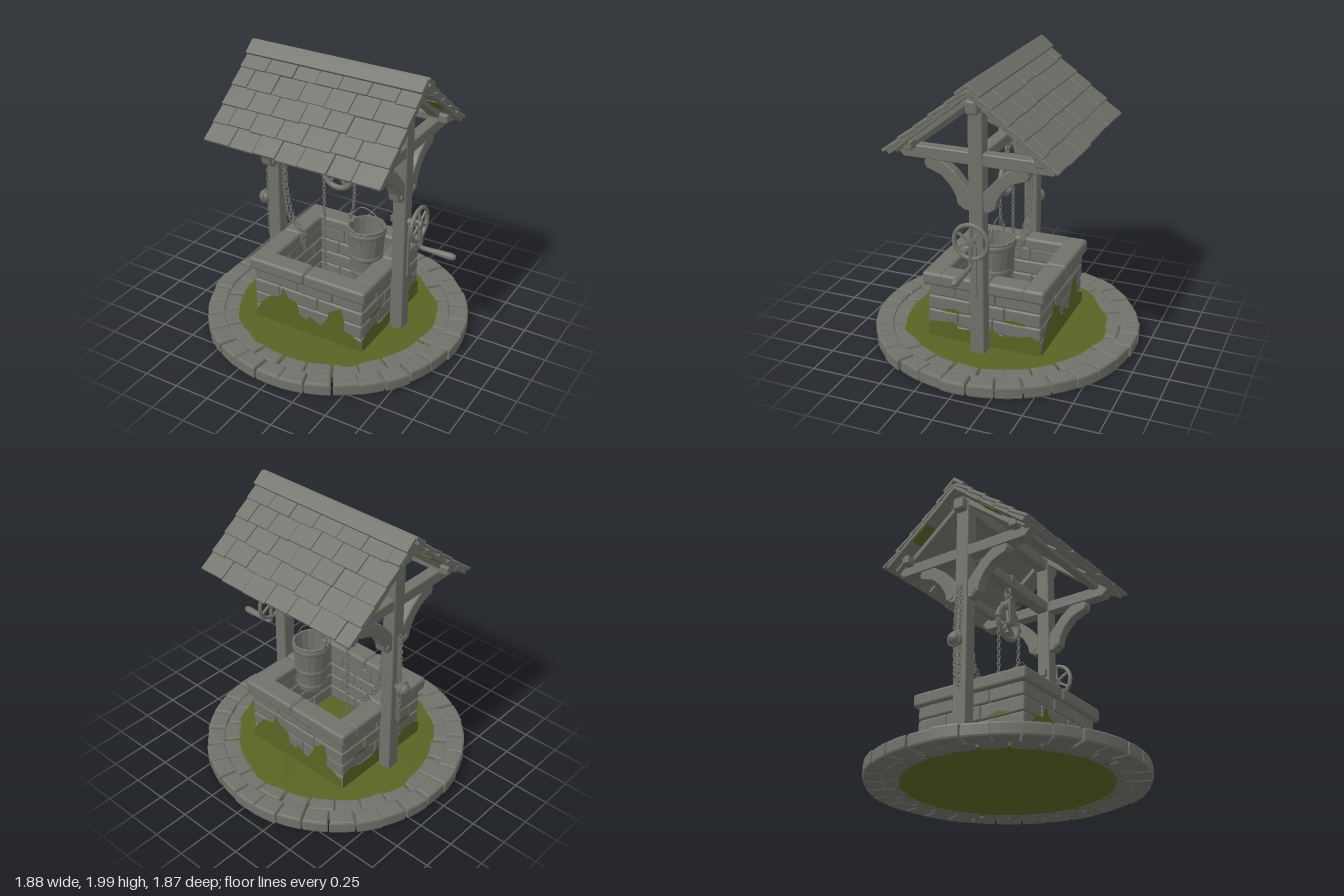
import * as THREE from 'three';
import { mergeGeometries } from 'three/addons/utils/BufferGeometryUtils.js';
import { RoundedBoxGeometry } from 'three/addons/geometries/RoundedBoxGeometry.js';

const stone = new THREE.MeshStandardMaterial({ color: 0x70716a });
stone.name = 'weathered grey';
const moss = new THREE.MeshStandardMaterial({ color: 0x5a6424 });
moss.name = 'moss green';

let seed = 7;
const rnd = (a, b) => {
  seed = (seed * 16807) % 2147483647;
  return a + (b - a) * seed / 2147483647;
};

// Joins several geometries into one named mesh
function part(parent, name, geos, mat = stone) {
  const mesh = new THREE.Mesh(mergeGeometries(geos.map(g => g.index ? g.toNonIndexed() : g)), mat);
  mesh.name = name;
  parent.add(mesh);
  return mesh;
}
// Rounded block given by its limits
function block(x0, x1, y0, y1, z0, z1, r = 0.012) {
  return new RoundedBoxGeometry(x1 - x0, y1 - y0, z1 - z0, 2, r)
    .translate((x0 + x1) / 2, (y0 + y1) / 2, (z0 + z1) / 2);
}
// Outline drawn in z and y, given a thickness along x
function sideCut(points, x, width) {
  const shape = new THREE.Shape(points.map(p => new THREE.Vector2(...p)));
  const b = 0.006;
  return new THREE.ExtrudeGeometry(shape, { depth: width - 2 * b, bevelSize: b, bevelThickness: b, bevelOffset: -b, bevelSegments: 1 })
    .translate(0, 0, b - width / 2).rotateY(-Math.PI / 2).translate(x, 0, 0);
}
const curve = pts => new THREE.CatmullRomCurve3(pts.map(p => new THREE.Vector3(...p)));
const tube = (pts, r) => new THREE.TubeGeometry(curve(pts), 24, r, 8);

// Alternating oval links along a path
function chain(parent, name, pts) {
  const path = curve(pts), n = Math.round(path.getLength() / 0.029), links = [];
  for (let i = 0; i < n; i++) {
    const u = (i + 0.5) / n, p = path.getPointAt(u);
    const q = new THREE.Quaternion().setFromUnitVectors(new THREE.Vector3(0, 1, 0), path.getTangentAt(u));
    links.push(new THREE.TorusGeometry(0.011, 0.0038, 6, 10).scale(1, 1.65, 1)
      .rotateY((i % 2) * Math.PI / 2 + 0.5).applyQuaternion(q).translate(p.x, p.y, p.z));
  }
  part(parent, name, links);
}

// Ring of bevelled paving stones
function paving(parent, name, r0, r1, count, height) {
  const stones = [];
  for (let i = 0; i < count; i++) {
    const step = Math.PI * 2 / count, a = i * step + rnd(-0.01, 0.01), half = step / 2;
    const out = r1 + rnd(-0.012, 0.004), s = new THREE.Shape();
    const g0 = 0.004 / r0, g1 = 0.004 / r1;
    s.absarc(0, 0, out, a - half + g1, a + half - g1, false);
    s.absarc(0, 0, r0, a + half - g0, a - half + g0, true);
    const h = height + rnd(-0.006, 0.002);
    stones.push(new THREE.ExtrudeGeometry(s, { depth: h - 0.03, bevelSize: 0.015, bevelThickness: 0.015, bevelOffset: -0.015, bevelSegments: 2, curveSegments: 4 })
      .translate(0, 0, 0.015).rotateX(-Math.PI / 2));
  }
  part(parent, name, stones);
}

// Spoked wheel facing +z
function wheel(r, tubeR, spokes, hub) {
  const g = [new THREE.TorusGeometry(r, tubeR, 10, 36),
    new THREE.CylinderGeometry(hub, hub, tubeR * 2.6, 16).rotateX(Math.PI / 2)];
  for (let i = 0; i < spokes; i++)
    g.push(new THREE.BoxGeometry(tubeR * 1.1, r, tubeR).translate(0, r / 2, 0).rotateZ(i * Math.PI * 2 / spokes));
  return g;
}

function buildBase(root) {
  paving(root, 'outerPaving', 0.805, 0.94, 32, 0.095);
  paving(root, 'innerPaving', 0.695, 0.815, 26, 0.088);
  part(root, 'mossGround', [new THREE.CylinderGeometry(0.745, 0.745, 0.07, 64).translate(0, 0.04, 0)], moss);
  // ragged moss creeping over the inner stones
  const edge = [];
  for (let i = 0; i < 72; i++) {
    const a = i / 72 * Math.PI * 2, r = 0.708 + 0.016 * Math.sin(a * 5) + 0.01 * Math.sin(a * 13 + 1) + rnd(-0.008, 0.008);
    edge.push(new THREE.Vector2(r * Math.cos(a), r * Math.sin(a)));
  }
  part(root, 'mossEdge', [new THREE.ShapeGeometry(new THREE.Shape(edge)).rotateX(-Math.PI / 2).translate(0, 0.0905, 0)], moss);
}

function buildWell(root) {
  const X = 0.43, Z = 0.41, T = 0.12, stones = [], rim = [];
  for (let row = 0; row < 4; row++) {
    const y = 0.08 + row * 0.106;
    for (const s of [-1, 1]) {
      const fit = (half, n) => Array.from({ length: n + 1 }, (_, i) =>
        -half + 2 * half * i / n + (i > 0 && i < n ? rnd(-0.04, 0.04) + (row % 2 ? 0.05 : -0.05) : 0));
      const xs = fit(X, 3), zs = fit(Z - 0.02, 3);
      for (let i = 0; i < 3; i++) {
        const j = rnd(-0.006, 0.004);
        stones.push(block(xs[i], xs[i + 1], y, y + 0.106, s > 0 ? Z - T : -Z - j, s > 0 ? Z + j : T - Z, 0.016));
        stones.push(block(s > 0 ? X - T : -X - j, s > 0 ? X + j : T - X, y, y + 0.106, zs[i], zs[i + 1], 0.016));
      }
    }
  }
  for (const s of [-1, 1]) {
    // solid core behind the joints
    stones.push(new THREE.BoxGeometry(0.8, 0.42, 0.09).translate(0, 0.29, s * 0.35));
    stones.push(new THREE.BoxGeometry(0.09, 0.42, 0.78).translate(s * 0.37, 0.29, 0));
    // coping stones
    const cx = rnd(-0.06, 0.06), cz = rnd(-0.06, 0.06);
    for (const [a, b] of [[-0.46, cx], [cx, 0.46]])
      rim.push(block(a, b, 0.485, 0.58, s > 0 ? 0.29 : -0.44, s > 0 ? 0.44 : -0.29, 0.022));
    for (const [a, b] of [[-0.31, cz], [cz, 0.31]])
      rim.push(block(s > 0 ? 0.31 : -0.46, s > 0 ? 0.46 : -0.31, 0.485, 0.58, a, b, 0.022));
  }
  part(root, 'wellWall', stones);
  part(root, 'wellRim', rim);
  // moss patches climbing the walls
  const front = [[-0.425, 0.13], [-0.38, 0.21], [-0.3, 0.3], [-0.22, 0.31], [-0.19, 0.4], [-0.15, 0.33], [-0.08, 0.31], [-0.06, 0.22],
    [0, 0.2], [0.02, 0.24], [0.11, 0.19], [0.16, 0.26], [0.18, 0.33], [0.27, 0.39], [0.3, 0.29], [0.29, 0.22], [0.36, 0.2], [0.43, 0.16]];
  const side = [[-0.41, 0.18], [-0.36, 0.21], [-0.22, 0.22], [-0.18, 0.18], [-0.05, 0.19], [0.07, 0.22], [0.12, 0.19], [0.25, 0.2], [0.33, 0.23], [0.41, 0.2]];
  const spot = [[-0.3, 0.31], [-0.22, 0.325], [-0.12, 0.3], [-0.2, 0.295], [-0.3, 0.295]];
  const patch = (top, flip) => {
    const pts = top.map(([x, y]) => new THREE.Vector2(x * flip, y));
    if (top !== spot) pts.push(new THREE.Vector2(top.at(-1)[0] * flip, 0.085), new THREE.Vector2(top[0][0] * flip, 0.085));
    return new THREE.ShapeGeometry(new THREE.Shape(pts));
  };
  const geos = [];
  for (const i of [0, 1]) {
    geos.push(patch(front, 1).translate(0, 0, Z + 0.007).rotateY(i * Math.PI));
    for (const g of [patch(side, i ? -1 : 1), patch(spot, 1), patch(spot, -1)])
      geos.push(g.translate(0, 0, X + 0.007).rotateY(Math.PI / 2 + i * Math.PI));
  }
  part(root, 'wallMoss', geos, moss);
}

function buildFrame(root) {
  for (const s of [-1, 1]) {
    const x = s * 0.497;
    part(root, 'post', [block(x - 0.048, x + 0.048, 0.07, 1.88, -0.05, 0.05, 0.01)]);
    part(root, 'tieBeam', [sideCut([[-0.5, 1.43], [0.5, 1.43], [0.555, 1.485], [0.54, 1.515], [-0.54, 1.515], [-0.555, 1.485]], x, 0.085)]);
    for (const f of [-1, 1]) {
      const outline = [[0.03, 1.12], [0.08, 1.115], [0.13, 1.15], [0.14, 1.2], [0.18, 1.27], [0.24, 1.33], [0.3, 1.355], [0.345, 1.37],
        [0.36, 1.4], [0.35, 1.435], [0.24, 1.435], [0.15, 1.37], [0.09, 1.3], [0.03, 1.23]].map(([z, y]) => [z * f, y]);
      part(root, 'curvedBrace', [sideCut(outline, x, 0.075),
        new THREE.CylinderGeometry(0.02, 0.02, 0.09, 10).rotateZ(Math.PI / 2).translate(x, 1.16, f * 0.09)]);
    }
  }
  const beams = [block(-0.47, 0.47, 1.43, 1.51, -0.045, 0.045), block(-0.6, 0.6, 1.78, 1.87, -0.042, 0.042, 0.015)];
  for (const f of [-1, 1]) beams.push(block(-0.6, 0.6, 1.495, 1.56, f * 0.44 - 0.03, f * 0.44 + 0.03));
  part(root, 'longBeams', beams);
}

function buildRoof(root) {
  const pitch = 0.675;
  for (const f of [0, 1]) {
    const holder = new THREE.Group(), slope = new THREE.Group();
    holder.name = 'roofSide';
    slope.name = 'roofSlope';
    holder.rotation.y = f * Math.PI;
    slope.position.y = 1.982;
    slope.rotation.x = pitch;
    holder.add(slope);
    root.add(holder);
    // five overlapping courses of shingles
    const shingles = [], step = 0.142;
    for (let row = 0; row < 5; row++) {
      let x = -0.655;
      let w = row % 2 ? 0.12 : 0.2;
      while (x < 0.645) {
        const end = x + w > 0.58 ? 0.65 : x + w;
        const len = 0.17, z = 0.06 + row * step + rnd(-0.006, 0.006);
        shingles.push(new RoundedBoxGeometry(end - x - 0.003, 0.024, len, 2, 0.006)
          .rotateX(-0.09 + rnd(-0.015, 0.015)).translate((x + end) / 2, -0.018 + rnd(-0.004, 0.003), z + len / 2 - 0.025));
        x = end;
        w = rnd(0.165, 0.215);
      }
    }
    part(slope, 'shingles', shingles);
    const boards = [];
    for (let i = 0; i < 5; i++) boards.push(block(-0.645, 0.645, -0.06 + rnd(0, 0.006), -0.028, 0.01 + i * 0.148, 0.158 + i * 0.148, 0.005));
    part(slope, 'roofBoards', boards);
    const rafters = [-1, 1].map(s => block(s * 0.5 - 0.04, s * 0.5 + 0.04, -0.095, -0.055, 0.02, 0.7, 0.008));
    part(slope, 'rafters', rafters);
    part(slope, 'eavePegs', [-0.57, -0.2, 0.19, 0.56].map(x => block(x - 0.02, x + 0.02, -0.075, -0.05, 0.62, 0.735, 0.006)));
    part(slope, 'ridgeCap', [block(-0.658, 0.652, -0.01, 0.015, -0.005, 0.105, 0.005)]);
    // moss clinging to the underside
    part(slope, 'roofMoss', [block(0.545, 0.64, -0.066, -0.058, f ? 0.34 : 0.6, f ? 0.5 : 0.7, 0.003),
      block(-0.62, -0.54, -0.066, -0.058, 0.3, 0.46, 0.003)], moss);
  }
}

function buildPulley(root) {
  const g = wheel(0.118, 0.02, 5, 0.035).map(q => q.translate(0, 1.165, 0));
  for (const f of [-1, 1]) g.push(block(-0.034, 0.034, 1.14, 1.33, f * 0.033 - 0.008, f * 0.033 + 0.008, 0.007));
  g.push(block(-0.034, 0.034, 1.29, 1.33, -0.035, 0.035));
  // chain guides at both sides
  for (const s of [-1, 1]) g.push(new THREE.ConeGeometry(0.02, 0.05, 8).rotateZ(-s * 1.8).translate(s * 0.15, 1.165, 0));
  part(root, 'pulley', g);
  const hook = [0, 1, 2].map(i => new THREE.TorusGeometry(0.022, 0.008, 8, 16).scale(1, 1.5, 1)
    .rotateY(i * Math.PI / 2).translate(0, 1.355 + i * 0.046, 0));
  hook.push(block(-0.03, 0.03, 1.46, 1.52, -0.055, 0.055));
  part(root, 'pulleyHook', hook);
  chain(root, 'wellChain', [[-0.11, 1.17, 0], [-0.107, 0.8, 0], [-0.105, 0.25, 0]]);
  chain(root, 'bucketChain', [[0.13, 1.18, 0], [0.13, 1, 0], [0.115, 0.86, 0]]);
}

function buildBucket(root) {
  const g = new THREE.Group();
  g.name = 'bucket';
  g.position.set(0.225, 0.42, -0.01);
  root.add(g);
  const staves = [];
  for (let i = 0; i < 16; i++)
    staves.push(new RoundedBoxGeometry(0.05, 0.4, 0.016, 2, 0.005).rotateX(0.095)
      .translate(0, 0.195 + rnd(-0.005, 0.005), 0.107).rotateY(i * Math.PI / 8));
  staves.push(new THREE.CylinderGeometry(0.098, 0.092, 0.03, 24).translate(0, 0.03, 0));
  part(g, 'staves', staves);
  part(g, 'hoops', [[0.355, 0.127], [0.17, 0.109], [0.04, 0.097]].map(([y, r]) =>
    new THREE.TorusGeometry(r, 0.011, 8, 32).rotateX(Math.PI / 2).scale(1, 2.2, 1).translate(0, y, 0)));
  part(g, 'bucketHandle', [tube([[-0.125, 0.36, 0], [-0.12, 0.42, 0], [-0.04, 0.52, 0], [0.06, 0.49, 0], [0.11, 0.43, 0], [0.125, 0.36, 0]], 0.004),
    tube([[-0.11, 0.45, 0], [-0.135, 0.44, 0], [-0.13, 0.4, 0], [-0.11, 0.39, 0]], 0.009)]);
}

function buildCrank(root) {
  const g = wheel(0.117, 0.015, 6, 0.03).map(q => q.rotateY(Math.PI / 2).translate(0.625, 0.945, 0));
  g.push(new THREE.CylinderGeometry(0.022, 0.022, 0.22, 12).rotateZ(Math.PI / 2).translate(0.54, 0.945, 0));
  g.push(block(0.425, 0.452, 0.92, 0.97, -0.03, 0.03, 0.006));
  g.push(tube([[0.63, 0.945, 0], [0.635, 0.85, 0], [0.64, 0.78, 0], [0.7, 0.765, 0]], 0.013));
  part(root, 'crankWheel', g);
  const profile = [[0, 0], [0.016, 0], [0.018, 0.06], [0.024, 0.17], [0.026, 0.22], [0.018, 0.245], [0, 0.252]];
  part(root, 'crankHandle', [new THREE.LatheGeometry(profile.map(p => new THREE.Vector2(...p)), 16)
    .rotateZ(-Math.PI / 2).translate(0.65, 0.77, 0)]);
  part(root, 'crankStrap', [block(0.545, 0.558, 0.51, 0.93, -0.008, 0.008, 0.005)]);
}

function buildSideChains(root) {
  chain(root, 'outerChain', [[-0.557, 1.22, 0.01], [-0.565, 0.9, 0.015], [-0.565, 0.5, 0.01]]);
  chain(root, 'outerChainLoop', [[-0.557, 1.22, -0.01], [-0.575, 0.9, -0.02], [-0.57, 0.54, -0.015]]);
  chain(root, 'innerChain', [[-0.435, 1.13, 0.01], [-0.425, 0.88, 0.01], [-0.39, 0.7, 0.01], [-0.29, 0.585, 0.01], [-0.27, 0.45, 0.01]]);
  chain(root, 'innerChainLoop', [[-0.435, 1.13, -0.015], [-0.415, 0.85, -0.015], [-0.37, 0.69, -0.015], [-0.28, 0.575, -0.015]]);
  part(root, 'chainKnob', [new THREE.SphereGeometry(0.048, 16, 12).translate(-0.598, 0.81, 0),
    new THREE.CylinderGeometry(0.022, 0.022, 0.08, 12).rotateZ(Math.PI / 2).translate(-0.56, 0.81, 0),
    new THREE.TorusGeometry(0.045, 0.012, 8, 20).rotateY(Math.PI / 2).translate(-0.6, 0.81, 0)]);
}

export function createModel() {
  const root = new THREE.Group();
  root.name = 'wishingWell';
  for (const build of [buildBase, buildWell, buildFrame, buildRoof, buildPulley, buildBucket, buildCrank, buildSideChains]) build(root);
  return root;
}
